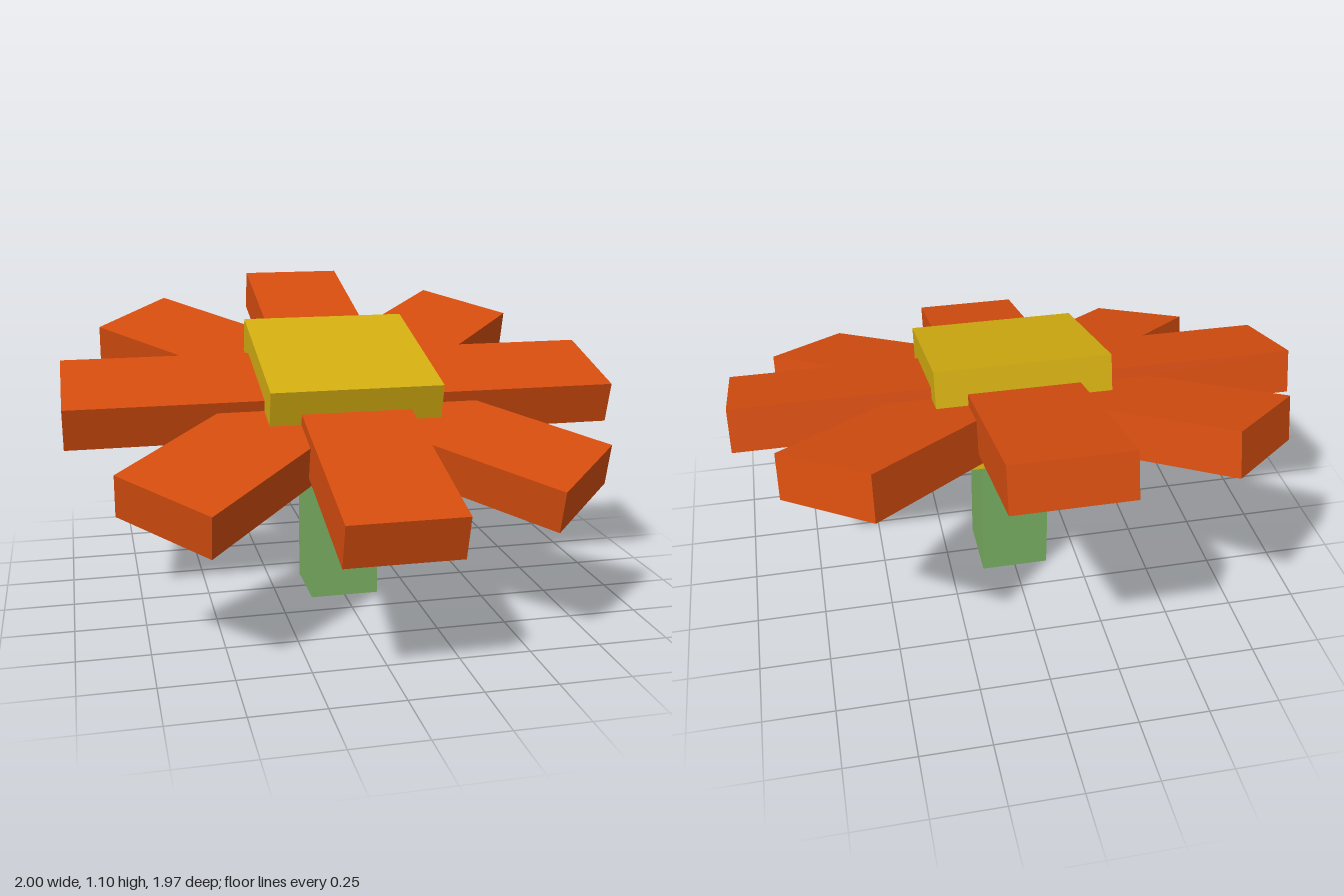
import * as THREE from 'three';

export function createModel() {
  const paint = (name, color, side = THREE.FrontSide) => {
    const m = new THREE.MeshStandardMaterial({ color, side });
    m.name = name;
    return m;
  };
  const orange = paint('petalOrange', 0xd64d0f);
  const yellow = paint('centreYellow', 0xd3ad10);
  const green = paint('stemGreen', 0x7ab062, THREE.DoubleSide);

  const model = new THREE.Group();
  model.name = 'flower';

  // Square stem, open at both ends; its top is buried in the centre block
  const stemTop = 0.7;
  const stemGeo = new THREE.CylinderGeometry(0.126 * Math.SQRT2, 0.126 * Math.SQRT2, stemTop, 4, 1, true)
    .rotateY(Math.PI / 4).toNonIndexed();
  stemGeo.computeVertexNormals();
  const stem = new THREE.Mesh(stemGeo, green);
  stem.name = 'stem';
  stem.position.y = stemTop / 2;
  model.add(stem);

  // Flower head leans towards the front
  const head = new THREE.Group();
  head.name = 'flowerHead';
  head.position.y = 0.761;
  head.rotation.x = THREE.MathUtils.degToRad(15);
  model.add(head);

  // Four crossing bars make eight petals; the diagonal pair sits lower
  const barGeo = new THREE.BoxGeometry(2, 0.156, 0.392);
  for (let i = 0; i < 4; i++) {
    const bar = new THREE.Mesh(barGeo, orange);
    bar.name = `petalPair${i + 1}`;
    bar.rotation.y = i * Math.PI / 4;
    bar.position.y = i % 2 ? -0.04 : 0;
    head.add(bar);
  }

  // Thick square centre
  const centre = new THREE.Mesh(new THREE.BoxGeometry(0.614, 0.362, 0.62), yellow);
  centre.name = 'flowerCentre';
  centre.position.y = -0.015;
  head.add(centre);

  return model;
}
